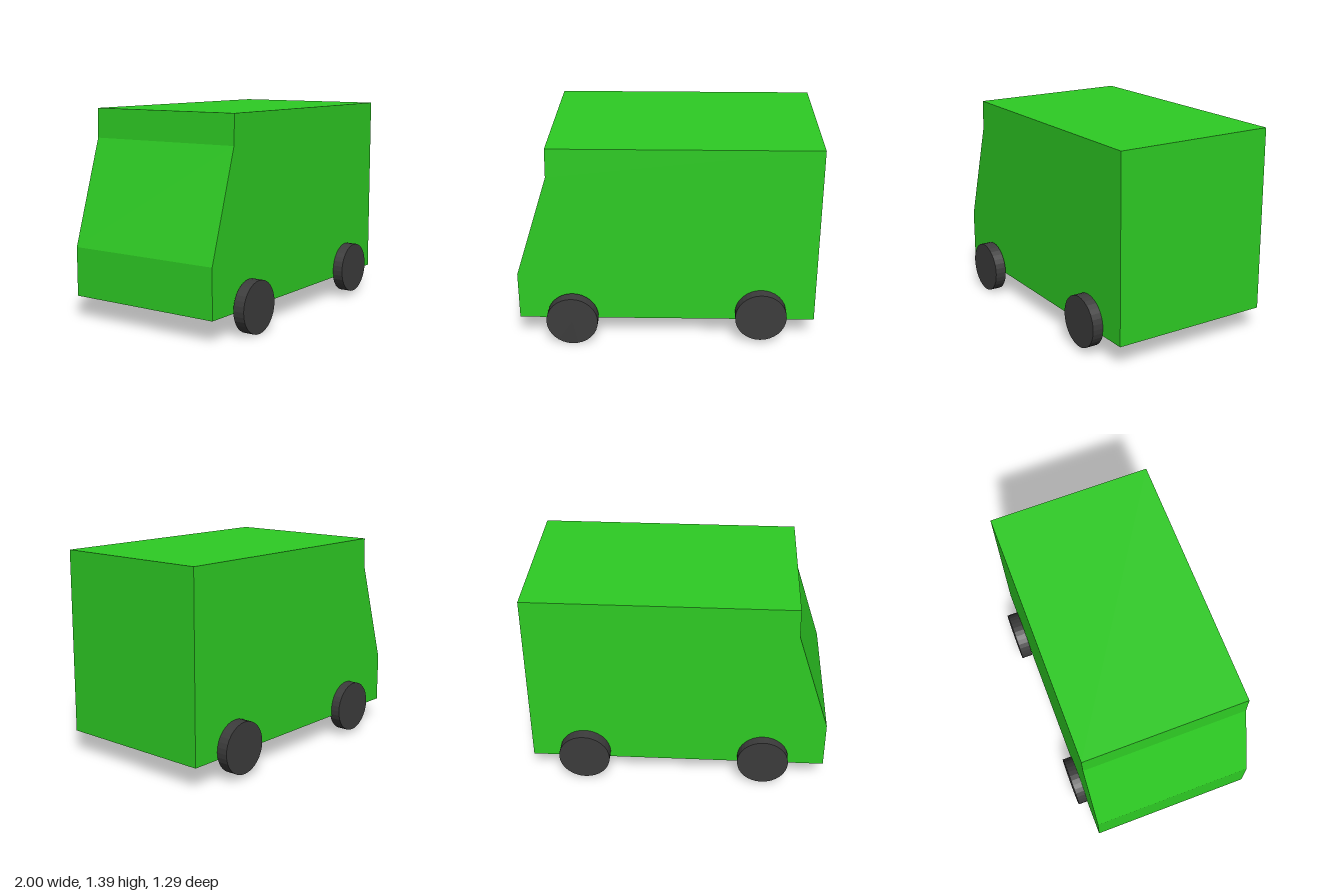
import * as THREE from 'three';

export function createModel() {
  const van = new THREE.Group();
  van.name = 'van';
  const green = new THREE.MeshStandardMaterial({ color: 0x2ecc24, flatShading: true });
  const rubber = new THREE.MeshStandardMaterial({ color: 0x3c3c3c, flatShading: true });

  // Body: side profile with sloped windscreen, extruded across the width
  const profile = [[-1, 0.15], [1, 0.15], [1, 1.388], [-0.77, 1.388], [-0.775, 1.19], [-1, 0.48]];
  const shape = new THREE.Shape(profile.map(([x, y]) => new THREE.Vector2(x, y)));
  const bodyGeometry = new THREE.ExtrudeGeometry(shape, { depth: 1.115, bevelEnabled: false });
  bodyGeometry.translate(0, 0, -0.565);
  const body = new THREE.Mesh(bodyGeometry, green);
  body.name = 'body';
  van.add(body);

  // Wheels: same disc, each placed slightly differently
  const wheelGeometry = new THREE.CylinderGeometry(0.173, 0.173, 0.077, 32);
  wheelGeometry.rotateX(Math.PI / 2);
  const wheels = {
    nearCabWheel: [-0.635, 0.175, 0.607],
    nearTailWheel: [0.635, 0.203, 0.584],
    farCabWheel: [-0.583, 0.196, -0.591],
    farTailWheel: [0.635, 0.203, -0.607],
  };
  for (const [name, position] of Object.entries(wheels)) {
    const wheel = new THREE.Mesh(wheelGeometry, rubber);
    wheel.name = name;
    wheel.position.set(...position);
    van.add(wheel);
  }
  return van;
}
